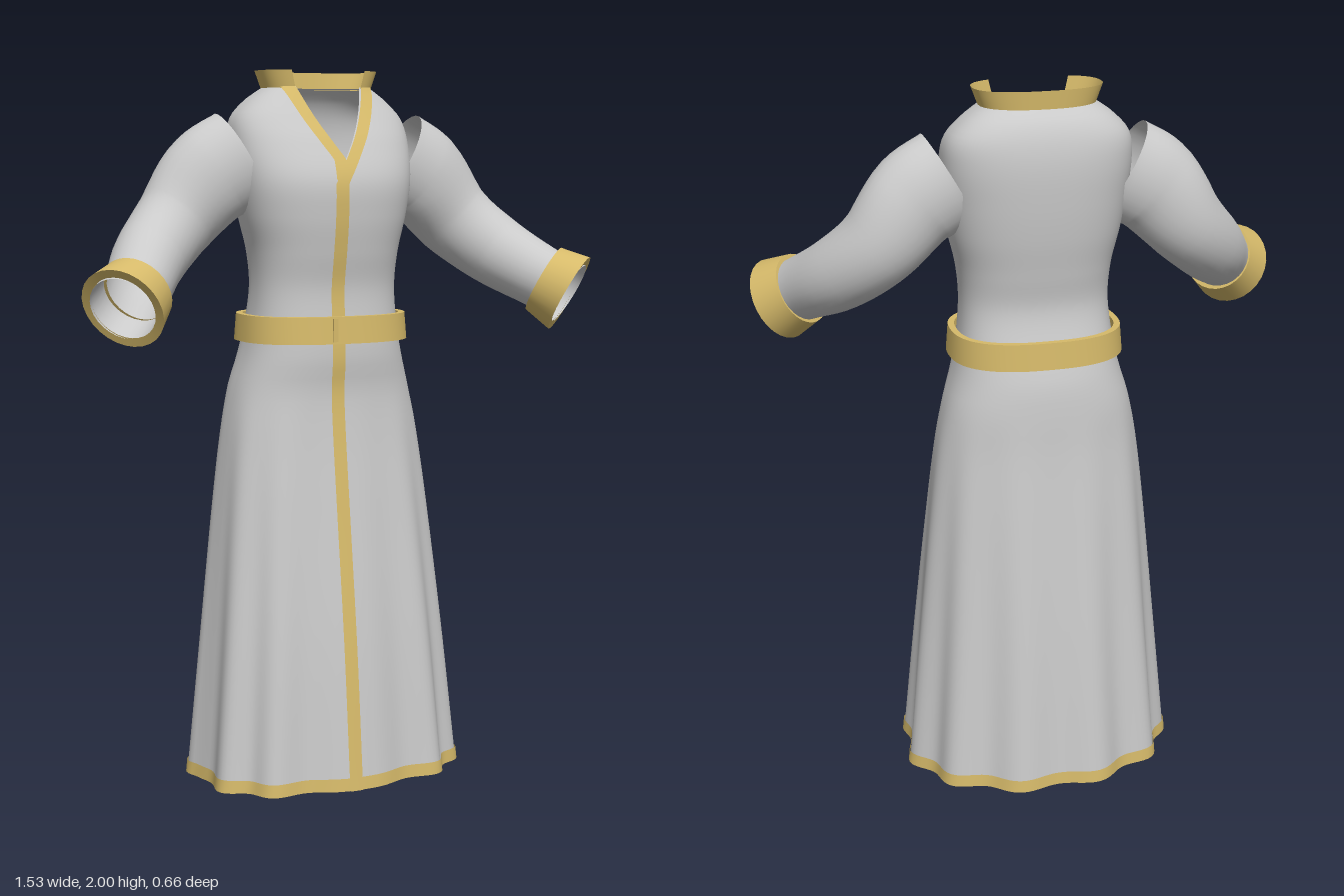
import * as THREE from 'three';
import { toCreasedNormals } from 'three/addons/utils/BufferGeometryUtils.js';

const cloth = new THREE.MeshStandardMaterial({ color: 0xcacaca, side: THREE.DoubleSide });
cloth.name = 'grey cloth';
const gold = new THREE.MeshStandardMaterial({ color: 0xd6ba6a, side: THREE.DoubleSide });
gold.name = 'gold trim';

// Smooth interpolation through rows [key, value, value, ...]
function interp(rows, k) {
  const n = rows.length;
  let i = 0;
  while (i < n - 2 && k > rows[i + 1][0]) i++;
  const A = rows[i], B = rows[i + 1], h = B[0] - A[0];
  const t = Math.min(1, Math.max(0, (k - A[0]) / h));
  const slope = (j, c) => {
    const p = rows[Math.max(0, j - 1)], q = rows[Math.min(n - 1, j + 1)];
    return (q[c] - p[c]) / (q[0] - p[0]);
  };
  return A.slice(1).map((a, m) => {
    const c = m + 1, t2 = t * t, t3 = t2 * t;
    return (2 * t3 - 3 * t2 + 1) * a + (t3 - 2 * t2 + t) * h * slope(i, c)
      + (3 * t2 - 2 * t3) * B[c] + (t3 - t2) * h * slope(i + 1, c);
  });
}

// Grid surface: f(u, v) returns [x, y, z]; closed joins the ends in u
function surface(nu, nv, f, closed = false) {
  const pos = [], idx = [], cols = closed ? nu : nu + 1;
  for (let j = 0; j <= nv; j++)
    for (let i = 0; i < cols; i++) pos.push(...f(i / nu, j / nv));
  for (let j = 0; j < nv; j++)
    for (let i = 0; i < nu; i++) {
      const a = j * cols + i, b = j * cols + (i + 1) % cols;
      idx.push(a, b, b + cols, a, b + cols, a + cols);
    }
  const g = new THREE.BufferGeometry();
  g.setAttribute('position', new THREE.Float32BufferAttribute(pos, 3));
  g.setIndex(idx);
  g.computeVertexNormals();
  return g;
}

// Body profile: height, half width, front z, back z, front and back squareness
const BODY = [
  [0, 0.383, 0.265, -0.31, 0.7, 0.95],
  [0.4, 0.348, 0.23, -0.275, 0.72, 0.95],
  [0.8, 0.31, 0.183, -0.235, 0.75, 0.9],
  [1.0, 0.286, 0.16, -0.215, 0.78, 0.88],
  [1.12, 0.262, 0.152, -0.207, 0.8, 0.85],
  [1.2, 0.238, 0.16, -0.198, 0.8, 0.85],
  [1.28, 0.22, 0.158, -0.175, 0.8, 0.8],
  [1.4, 0.208, 0.152, -0.148, 0.8, 0.8],
  [1.5, 0.215, 0.168, -0.16, 0.8, 0.8],
  [1.6, 0.238, 0.181, -0.176, 0.8, 0.8],
  [1.7, 0.255, 0.18, -0.186, 0.8, 0.8],
  [1.8, 0.262, 0.14, -0.189, 0.8, 0.8],
  [1.87, 0.25, 0.1, -0.18, 0.8, 0.8],
  [1.92, 0.205, 0.072, -0.16, 0.8, 0.8],
  [1.955, 0.155, 0.055, -0.13, 0.8, 0.8],
];
const power = (v, e) => Math.sign(v) * Math.pow(Math.abs(v), e);

// Point on a cross-section; theta 0 faces the front, off pushes outward
function ringPoint([w, f, b, ef, eb], y, theta, off = 0) {
  const s = Math.sin(theta), c = Math.cos(theta), e = c > 0 ? ef : eb, mid = (f + b) / 2;
  return [w * power(s, e) + off * s, y, mid + (f - b) / 2 * power(c, e) + off * c];
}
function bodyPoint(y, theta, off = 0) {
  const fold = 0.015 * Math.max(0, 1 - y / 1.1) * Math.cos(11 * theta);
  return ringPoint(interp(BODY, y), y, theta, off + fold);
}
function thetaAt(y, x) {
  const [w, , , ef] = interp(BODY, y);
  return Math.asin(power(Math.max(-1, Math.min(1, x / w)), 1 / ef));
}

// Neckline half opening by height
const NECK = [[1.755, 0], [1.8, 0.028], [1.85, 0.056], [1.9, 0.078], [1.955, 0.097]];
const neckX = (y) => (y < 1.755 ? 0 : interp(NECK, y)[0]);
const sweep = (y, u) => {
  const a = thetaAt(y, neckX(y));
  return a + u * (2 * Math.PI - 2 * a);
};

// Flat band that follows the front of the body
function ribbon(y0, y1, steps, left, width, off) {
  return surface(4, steps, (u, v) => {
    const y = y0 + (y1 - y0) * v;
    return bodyPoint(y, thetaAt(y, left(y) + u * width), off);
  });
}

// Sleeve: step, centre x y z, radius up, radius across
const SLEEVE = [
  [0, 0.24, 1.757, -0.022, 0.142, 0.1],
  [1, 0.33, 1.705, -0.025, 0.138, 0.105],
  [2, 0.435, 1.585, -0.02, 0.115, 0.104],
  [3, 0.53, 1.495, 0.05, 0.104, 0.1],
  [4, 0.622, 1.412, 0.19, 0.09, 0.09],
  [5, 0.672, 1.372, 0.24, 0.094, 0.094],
];
function armRing(side, centre, dir, ru, ra, a) {
  const up = new THREE.Vector3(0, 1, 0).addScaledVector(dir, -dir.y).normalize();
  const across = new THREE.Vector3().crossVectors(up, dir);
  const p = centre.clone().addScaledVector(up, ru * Math.cos(a)).addScaledVector(across, ra * Math.sin(a));
  return [side * p.x, p.y, p.z];
}

export function createModel() {
  const robe = new THREE.Group();
  robe.name = 'robe';
  const add = (name, geo, mat, parent = robe) => {
    const m = new THREE.Mesh(geo, mat);
    m.name = name;
    parent.add(m);
    return m;
  };

  // Skirt with folds, and its hem
  add('skirt', surface(132, 40, (u, v) => bodyPoint(1.28 * v, 2 * Math.PI * u), true), cloth);
  add('hem', surface(132, 1, (u, v) => bodyPoint(0.036 * v, 2 * Math.PI * u, 0.004), true), gold);

  // Bodice, open at the neckline
  add('bodice', surface(80, 48, (u, v) => {
    const y = 1.27 + 0.685 * v;
    return bodyPoint(y, sweep(y, u));
  }), cloth);

  // Standing collar, flaring upward
  const low = interp(BODY, 1.955), high = [0.174, 0.058, -0.134, 0.8, 0.8];
  add('collar', surface(60, 3, (u, v) => {
    const r = low.map((a, i) => a + (high[i] - a) * v);
    return ringPoint(r, 1.95 + 0.05 * v, sweep(1.955, u), 0.004);
  }), gold);

  // Front edging: one side runs from the neck to the hem, the other ends beneath it
  const overlap = (y) => Math.max(-0.04, y < 1.755 ? (y - 1.755) * 0.62 : neckX(y));
  add('frontBand', ribbon(0, 1.955, 110, overlap, 0.038, 0.007), gold);
  add('neckBand', ribbon(1.7, 1.955, 24, (y) => -neckX(y) - 0.036, 0.036, 0.005), gold);

  // Belt with a small overlapping end
  const belt = [[1.325, -0.018], [1.325, 0], [1.25, 0.006], [1.25, -0.018]];
  add('belt', toCreasedNormals(surface(72, 3, (u, v) => {
    const [y, off] = belt[Math.round(v * 3)];
    return ringPoint([0.239, 0.18, -0.195, 0.8, 0.8], y, 2 * Math.PI * u, off);
  }, true), 0.7), gold);
  add('beltEnd', new THREE.BoxGeometry(0.014, 0.064, 0.008), gold).position.set(-0.04, 1.288, 0.182);

  // Sleeves and cuffs
  const path = new THREE.CatmullRomCurve3(SLEEVE.map((r) => new THREE.Vector3(r[1], r[2], r[3])));
  const cuffDir = new THREE.Vector3(0.06, -0.043, 0.052).normalize();
  const cuffBase = new THREE.Vector3(0.618, 1.414, 0.192);
  const cuff = [[0, 0.088], [0, 0.102], [0.085, 0.118], [0.082, 0.093]];
  for (const side of [1, -1]) {
    const arm = new THREE.Group();
    arm.name = side > 0 ? 'leftArm' : 'rightArm';
    robe.add(arm);
    add('sleeve', surface(28, 30, (u, v) => {
      const r = interp(SLEEVE, v * 5);
      return armRing(side, path.getPoint(v), path.getTangent(v), r[3], r[4], 2 * Math.PI * u);
    }, true), cloth, arm);
    add('cuff', toCreasedNormals(surface(28, 3, (u, v) => {
      const [d, r] = cuff[Math.round(v * 3)];
      return armRing(side, cuffBase.clone().addScaledVector(cuffDir, d), cuffDir, r, r, 2 * Math.PI * u);
    }, true), 0.7), gold, arm);
  }
  return robe;
}
